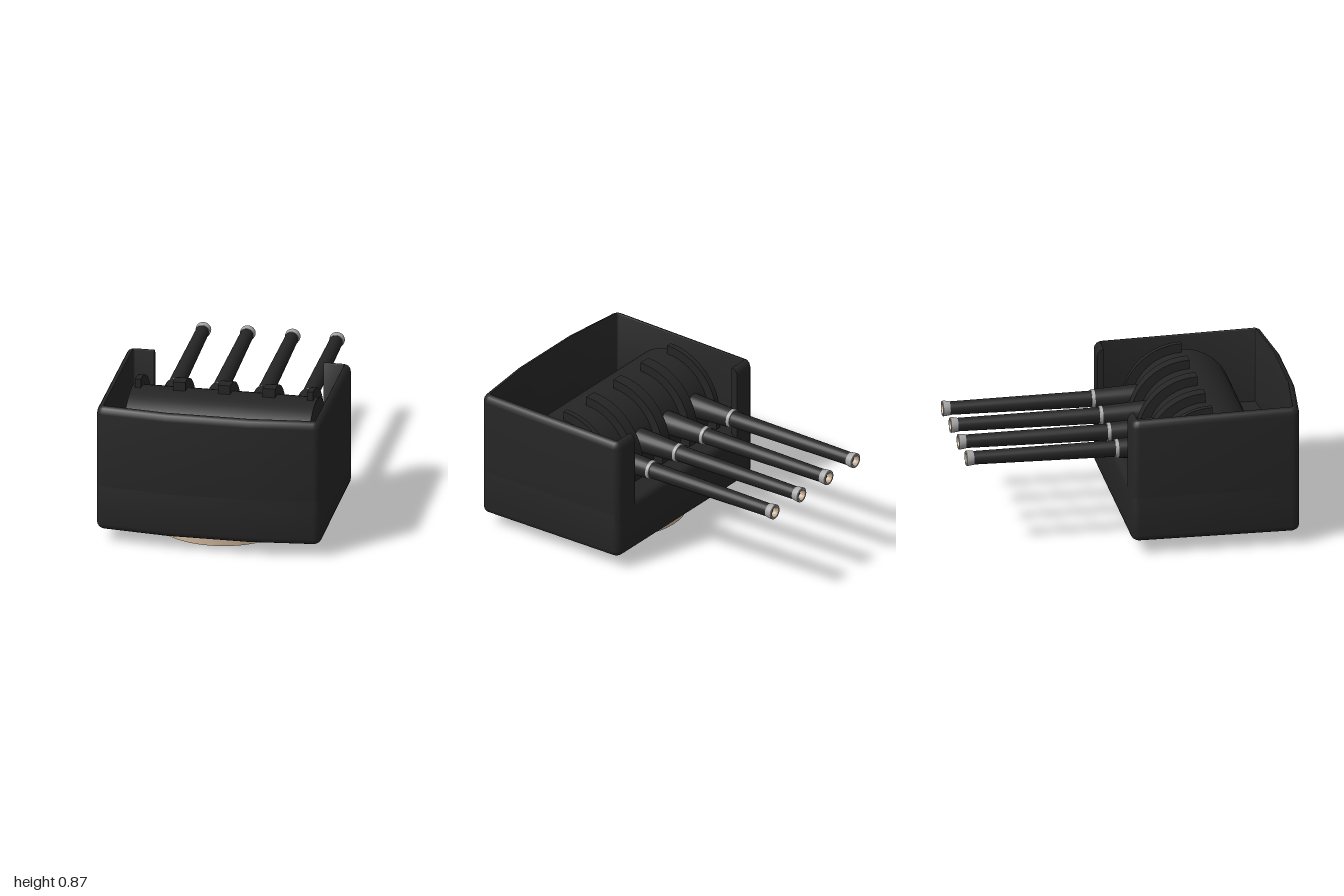
import * as THREE from 'three';
import { toCreasedNormals } from 'three/addons/utils/BufferGeometryUtils.js';

const mat = (name, color, extra = {}) => {
  const m = new THREE.MeshStandardMaterial({ color, ...extra });
  m.name = name;
  return m;
};

// Half of the plan outline as [x, z, normalX, normalZ], from the rear gap to the front
function halfOutline() {
  const pts = [[0.51, -0.05, 0, -1]];
  const corner = (cx, cz, r, a0, a1) => {
    for (let i = 0; i <= 5; i++) {
      const a = THREE.MathUtils.degToRad(a0 + (a1 - a0) * i / 5);
      pts.push([cx + r * Math.cos(a), cz + r * Math.sin(a), Math.cos(a), Math.sin(a)]);
    }
  };
  corner(0.625, 0, 0.05, -90, 0);
  corner(0.625, 0.91, 0.05, 0, 84);
  pts.push([0.25, 1, 0.05, 1]);
  return pts;
}

// Sweeps the wall section (inset, height) along the outline and caps both ends
function wallGeometry(outline, section) {
  const pos = [], index = [], m = section.length, n = outline.length;
  for (const [x, z, nx, nz] of outline) {
    for (const [inset, y] of section) {
      const drop = y > 0.6 ? 0.022 * (0.95 - z) : 0;
      pos.push(x - nx * inset, y - drop, z - nz * inset);
    }
  }
  for (let i = 0; i < n - 1; i++) {
    for (let j = 0; j < m - 1; j++) {
      const a = i * m + j, b = a + m;
      index.push(a, a + 1, b, b, a + 1, b + 1);
    }
  }
  const last = (n - 1) * m;
  for (let k = 1; k < m - 1; k++) {
    index.push(0, k + 1, k, last, last + k, last + k + 1);
  }
  const geo = new THREE.BufferGeometry();
  geo.setAttribute('position', new THREE.Float32BufferAttribute(pos, 3));
  geo.setIndex(index);
  return toCreasedNormals(geo, 0.6);
}

export function createModel() {
  const root = new THREE.Group();
  root.name = 'gunMount';
  const dark = mat('darkPaint', 0x252525);
  const steel = mat('steel', 0xa6a6a6);
  const tan = mat('tanMetal', 0xcdb499, { side: THREE.DoubleSide });

  const add = (name, geo, material, parent = root) => {
    const mesh = new THREE.Mesh(geo, material);
    mesh.name = name;
    parent.add(mesh);
    return mesh;
  };

  // Base ring
  const ring = add('baseRing', new THREE.CylinderGeometry(0.42, 0.42, 0.09, 48, 1, true), tan);
  ring.position.set(0, 0.045, 0.46);

  // Solid lower hull with a rounded underside
  const half = halfOutline();
  const outline = [...half, ...half.slice().reverse().map(([x, z, a, b]) => [-x, z, -a, b])];
  const plan = new THREE.Shape(outline.map(([x, z]) => new THREE.Vector2(x, -z)));
  const bevel = 0.04, floorY = 0.4;
  const hull = new THREE.ExtrudeGeometry(plan, {
    depth: floorY - 0.08 - 2 * bevel, bevelEnabled: true, bevelThickness: bevel,
    bevelSize: bevel, bevelOffset: -bevel, bevelSegments: 4,
  });
  hull.rotateX(-Math.PI / 2);
  hull.translate(0, 0.08 + bevel, 0);
  add('lowerHull', toCreasedNormals(hull, 0.6), dark);

  // Open-topped armour walls, with a wide gap at the rear
  const section = [[0, 0.3], [0, 0.82], [0.004, 0.84], [0.014, 0.855], [0.028, 0.863],
    [0.038, 0.865], [0.041, 0.86], [0.041, 0.38]];
  add('armourWalls', wallGeometry(outline, section), dark);

  // Drum that carries the barrels
  const drumY = 0.49, drumZ = 0.455;
  const drum = add('drum', new THREE.CylinderGeometry(0.305, 0.305, 1.11, 48), dark);
  drum.rotation.z = Math.PI / 2;
  drum.position.set(0, drumY, drumZ);

  // Curved ribs over the rear quarter of the drum
  const rib = new THREE.Shape();
  rib.moveTo(0, floorY - drumY - 0.02);
  rib.lineTo(0.36, floorY - drumY - 0.02);
  rib.lineTo(0.36, 0);
  rib.absarc(0, 0, 0.36, 0, Math.PI / 2, false);
  rib.closePath();
  for (const [x, width] of [[-0.518, 0.035], [-0.27, 0.075], [0, 0.075], [0.27, 0.075], [0.518, 0.035]]) {
    const geo = new THREE.ExtrudeGeometry(rib, { depth: width, bevelEnabled: false, curveSegments: 20 });
    geo.translate(0, 0, -width / 2);
    geo.rotateY(Math.PI / 2);
    const mesh = add('drumRib', toCreasedNormals(geo, 0.6), dark);
    mesh.position.set(x, drumY, drumZ);
  }

  // Barrels: profiles are [radius, distance towards the rear]
  const lathe = (pts) => toCreasedNormals(
    new THREE.LatheGeometry(pts.map(([r, d]) => new THREE.Vector2(r, d)), 20), 0.6);
  const sleeve = lathe([[0.075, -0.32], [0.07, -0.15], [0.057, 0.09], [0.04, 0.09]]);
  const collar = lathe([[0.045, 0.088], [0.058, 0.088], [0.055, 0.108], [0.04, 0.108]]);
  const tube = lathe([[0.049, 0.09], [0.046, 0.4], [0.04, 0.96]]);
  const muzzle = lathe([[0.03, 0.955], [0.042, 0.955], [0.046, 0.985], [0.046, 0.997], [0.043, 1], [0.033, 1]]);
  const bore = lathe([[0.033, 1], [0.024, 0.985], [0.024, 0.965]]);
  const plug = new THREE.CircleGeometry(0.025, 20).rotateX(-Math.PI / 2).translate(0, 0.968, 0);
  for (const x of [-0.402, -0.135, 0.135, 0.402]) {
    const barrel = new THREE.Group();
    barrel.name = 'barrel';
    add('barrelSleeve', sleeve, dark, barrel);
    add('barrelCollar', collar, steel, barrel);
    add('barrelTube', tube, dark, barrel);
    add('muzzleRing', muzzle, steel, barrel);
    add('boreLining', bore, tan, barrel);
    add('boreEnd', plug, dark, barrel);
    barrel.rotation.x = -Math.PI / 2;
    barrel.position.set(x, 0.577, 0);
    root.add(barrel);
  }
  return root;
}
